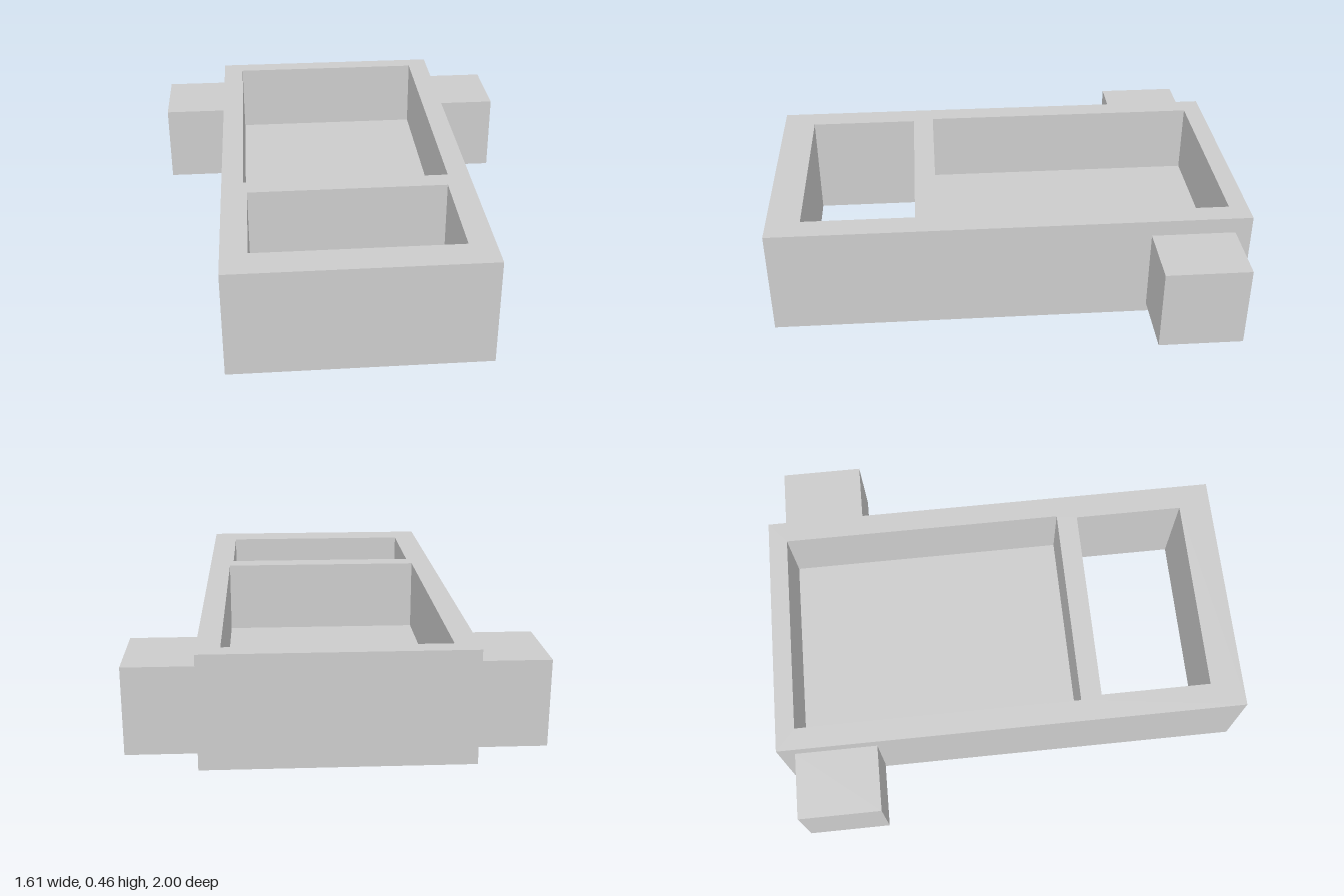
import * as THREE from 'three';
import { mergeGeometries } from 'three/addons/utils/BufferGeometryUtils.js';

const HEIGHT = 0.457, FLOOR = 0.145;

// Rectangles in plan: [x0, x1, z0, z1]
const OUTLINE = [-0.527, 0.527, -1, 1];
const POCKET = [-0.435, 0.435, -0.92, 0.3];
const OPENING = [-0.42, 0.42, 0.39, 0.86];

const corners = ([x0, x1, z0, z1]) => [[x0, z1], [x1, z1], [x1, z0], [x0, z0]];

// Horizontal face at height y, with rectangular holes, facing up or down
function cap(rect, holes, y, up) {
  const s = up ? -1 : 1;
  const points = (r) => corners(r).map(([x, z]) => new THREE.Vector2(x, s * z));
  const shape = new THREE.Shape(points(rect));
  shape.holes = holes.map((h) => new THREE.Path(points(h)));
  return new THREE.ShapeGeometry(shape).rotateX(s * Math.PI / 2).translate(0, y, 0).toNonIndexed();
}

// Four upright faces round a rectangle, facing outward or inward
function walls(rect, y0, y1, outward) {
  const c = corners(rect);
  if (!outward) c.reverse();
  const pos = [];
  c.forEach(([ax, az], i) => {
    const [bx, bz] = c[(i + 1) % 4];
    pos.push(ax, y0, az, bx, y0, bz, bx, y1, bz, ax, y0, az, bx, y1, bz, ax, y1, az);
  });
  const g = new THREE.BufferGeometry();
  g.setAttribute('position', new THREE.Float32BufferAttribute(pos, 3));
  g.computeVertexNormals();
  return g;
}

export function createModel() {
  const group = new THREE.Group();
  group.name = 'tray';
  const material = new THREE.MeshStandardMaterial({ color: 0xcccccc, flatShading: true });

  // Body with a floored pocket at the back and a through opening at the front
  const faces = [
    cap(OUTLINE, [POCKET, OPENING], HEIGHT, true),
    cap(OUTLINE, [OPENING], 0, false),
    cap(POCKET, [], FLOOR, true),
    walls(OUTLINE, 0, HEIGHT, true),
    walls(POCKET, FLOOR, HEIGHT, false),
    walls(OPENING, 0, HEIGHT, false),
  ];
  faces.forEach((g) => g.deleteAttribute('uv'));
  const body = new THREE.Mesh(mergeGeometries(faces), material);
  body.name = 'body';
  group.add(body);

  // Side blocks against the back end of the body
  for (const side of [-1, 1]) {
    const block = new THREE.Mesh(new THREE.BoxGeometry(0.28, 0.35, 0.35), material);
    block.position.set(side * 0.667, 0.214, -0.757);
    block.name = side > 0 ? 'leftBlock' : 'rightBlock';
    group.add(block);
  }
  return group;
}
